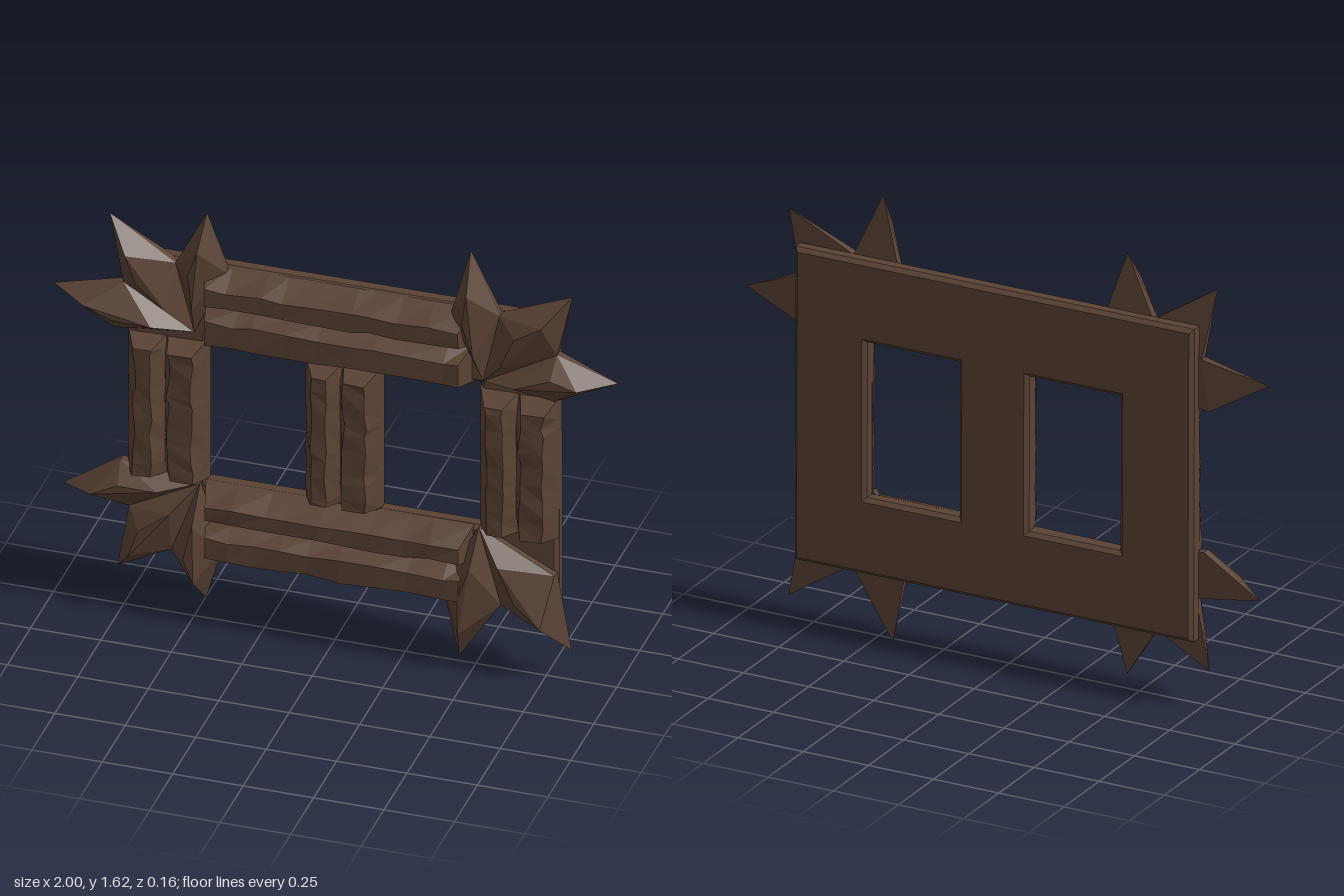
import * as THREE from 'three';
import { ConvexGeometry } from 'three/addons/geometries/ConvexGeometry.js';

export function createModel() {
  const model = new THREE.Group();
  model.name = 'woodenWindowFrame';
  const wood = new THREE.MeshStandardMaterial({ color: 0x5a4235, flatShading: true });
  wood.name = 'dark brown wood';

  let seed = 7;
  const rand = () => (seed = (seed * 16807) % 2147483647) / 2147483647;
  const jitter = (a) => (rand() - 0.5) * 2 * a;

  const add = (geometry, name) => {
    const mesh = new THREE.Mesh(geometry, wood);
    mesh.name = name;
    model.add(mesh);
    return mesh;
  };

  // Backing board with two window openings and bevelled edges, set slightly askew
  const rect = (path, x0, y0, x1, y1) =>
    path.moveTo(x0, y0).lineTo(x1, y0).lineTo(x1, y1).lineTo(x0, y1).closePath();
  const outline = rect(new THREE.Shape(), -0.74, -0.57, 0.785, 0.575);
  for (const [x0, x1] of [[-0.46, -0.11], [0.155, 0.51]])
    outline.holes.push(rect(new THREE.Path(), x0, -0.29, x1, 0.278));
  const board = new THREE.ExtrudeGeometry(outline, {
    depth: 0.035, bevelThickness: 0.015, bevelSize: 0.014, bevelOffset: -0.014, bevelSegments: 1,
  });
  board.translate(0, 0, -0.063);
  const backBoard = add(board, 'backBoard');
  backBoard.position.y = 0.82;
  backBoard.rotation.set(0.006, 0.006, 0);

  // Beam chamfers: how far out the shoulder sits, and the height of the edge below it
  const GROOVE = [0.55, 0.012], WIDE = [0.3, -0.018], STEEP = [0.62, -0.008];

  // Rough-hewn beam along +y with a chamfer on its left and right
  function beamGeometry(length, width, [leftTop, leftZ], [rightTop, rightZ]) {
    const w = width / 2, steps = 9, sides = 6;
    const points = [], index = [];
    for (let i = 0; i <= steps; i++) {
      const end = i === 0 || i === steps;
      const y = (i / steps) * length - length / 2 + (end ? 0 : jitter(0.35 / steps) * length);
      const pull = i === 0 ? 0.025 : i === steps ? -0.025 : 0;
      const edge = (z) => (end ? -0.02 : z + jitter(0.004));
      const section = [
        [-w, -0.03, 0], [-w, edge(leftZ), 0],
        [-w * leftTop + jitter(0.007), 0.075 + jitter(0.004), pull],
        [w * rightTop + jitter(0.007), 0.075 + jitter(0.004), pull],
        [w, edge(rightZ), 0], [w, -0.03, 0],
      ];
      for (const [x, z, shift] of section) points.push(x, y + shift, z);
    }
    for (let i = 0; i < steps; i++)
      for (let j = 0; j < sides; j++) {
        const a = i * sides + j, b = i * sides + ((j + 1) % sides);
        index.push(a, b, a + sides, b, b + sides, a + sides);
      }
    const last = steps * sides;
    for (let j = 1; j < sides - 1; j++) {
      index.push(0, j + 1, j);
      index.push(last, last + j, last + j + 1);
    }
    const geometry = new THREE.BufferGeometry();
    geometry.setAttribute('position', new THREE.Float32BufferAttribute(points, 3));
    geometry.setIndex(index);
    const flat = geometry.toNonIndexed();
    flat.computeVertexNormals();
    return flat;
  }

  // Three upright posts, each a pair of beams
  const posts = { rightPost: [-0.74, -0.46], middlePost: [-0.11, 0.155], leftPost: [0.51, 0.785] };
  for (const [name, [x0, x1]] of Object.entries(posts)) {
    const width = (x1 - x0) / 2;
    [[WIDE, GROOVE], [GROOVE, STEEP]].forEach(([left, right], k) =>
      add(beamGeometry(0.55, width, left, right), name + 'Beam')
        .position.set(x0 + width * (k + 0.5), 0.812, 0));
  }

  // Two horizontal rails, each a pair of beams turned so their right side is up
  for (const [name, y0, y1] of [['topRail', 1.098, 1.39], ['bottomRail', 0.25, 0.53]]) {
    const width = (y1 - y0) / 2;
    [[STEEP, GROOVE], [GROOVE, WIDE]].forEach(([under, over], k) => {
      const beam = add(beamGeometry(0.95, width, under, over), name + 'Beam');
      beam.rotation.z = Math.PI / 2;
      beam.position.set(0.01, y0 + width * (k + 0.5), 0);
    });
  }

  // Pointed shard: root, two shoulders, raised ridge and tip
  function shardGeometry(root, a, b, tip) {
    const at = ([x, y], z) => new THREE.Vector3(x, y, z);
    const R = at(root, 0);
    const T = at(tip, -0.016 + 0.015 * (tip[1] - 0.8) - 0.006 * tip[0]);
    const M = at(a, 0).add(at(b, 0)).multiplyScalar(0.5);
    const inner = M.clone().lerp(R, 0.5).setZ(0.07);
    const outer = M.clone().lerp(T, 0.45).setZ(0.078);
    // short flat strip beside the ridge gives a carved facet
    const facet = M.clone().lerp(at(a, 0), 0.28).setZ(0.074);
    return new ConvexGeometry([
      at(root, -0.026), at(root, 0),
      at(a, -0.026), at(a, 0.005), at(b, -0.026), at(b, 0.005),
      inner, outer, facet, T,
    ]);
  }

  // Corner clusters: neighbouring shards share their shoulder points
  const corners = {
    topRightCorner: {
      root: [-0.5, 1.12],
      shoulders: [[-0.78, 1.09], [-0.75, 1.275], [-0.565, 1.385], [-0.385, 1.38]],
      tips: [[-1, 1.22], [-0.8, 1.535], [-0.455, 1.6]],
    },
    topLeftCorner: {
      root: [0.525, 1.12],
      shoulders: [[0.41, 1.36], [0.585, 1.39], [0.79, 1.275], [0.78, 1.09]],
      tips: [[0.48, 1.625], [0.84, 1.505], [1, 1.19]],
    },
    bottomRightCorner: {
      root: [-0.48, 0.525],
      shoulders: [[-0.76, 0.57], [-0.73, 0.395], [-0.58, 0.25], [-0.405, 0.27]],
      tips: [[-0.97, 0.43], [-0.78, 0.135], [-0.465, 0.065]],
    },
    bottomLeftCorner: {
      root: [0.51, 0.54],
      shoulders: [[0.38, 0.3], [0.59, 0.25], [0.78, 0.4]],
      tips: [[0.43, 0], [0.83, 0.095]],
    },
  };
  for (const [name, { root, shoulders, tips }] of Object.entries(corners))
    tips.forEach((tip, i) =>
      add(shardGeometry(root, shoulders[i], shoulders[i + 1], tip), name + 'Shard'));

  return model;
}
